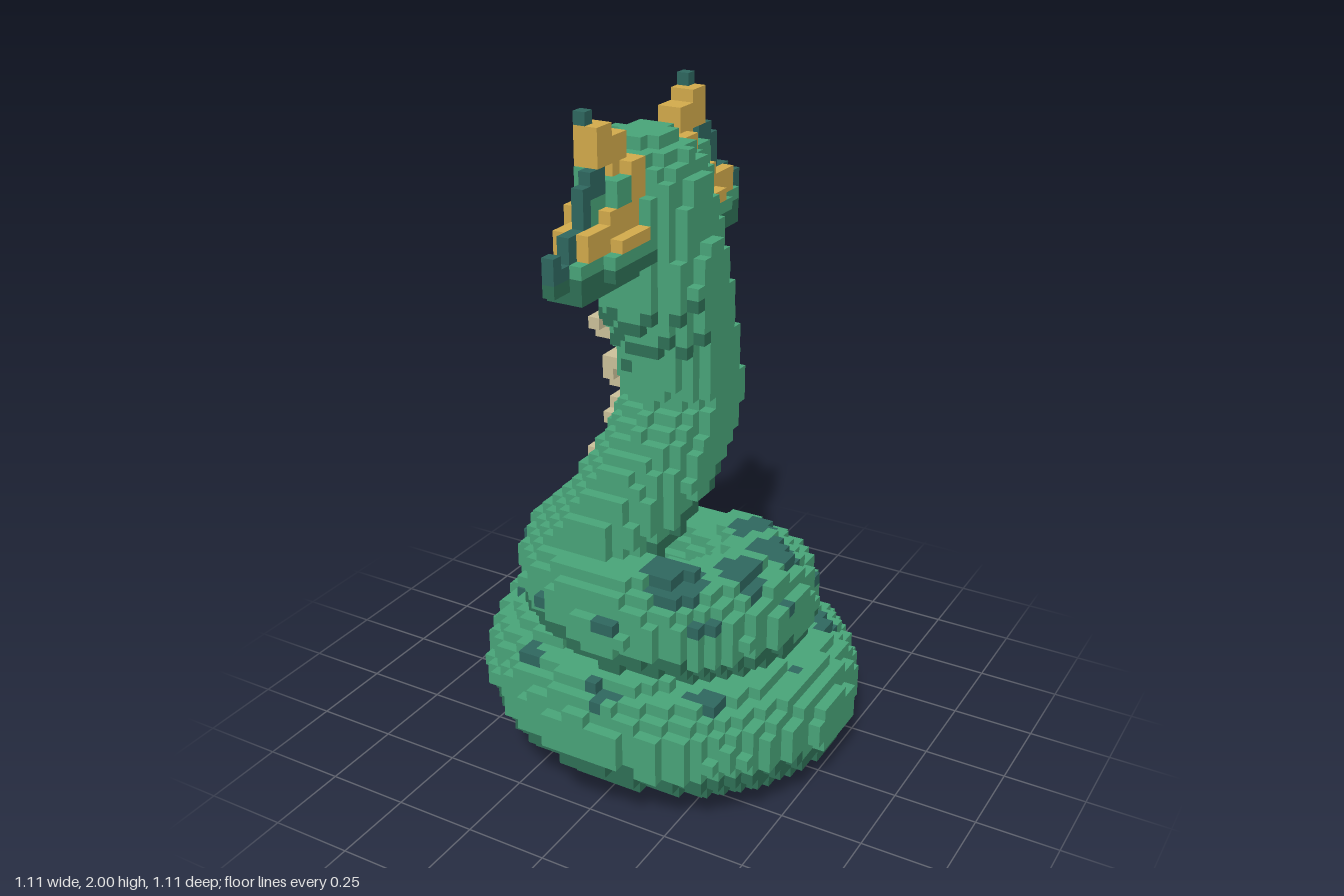
import * as THREE from 'three';

const V = 2 / 56; // voxel edge

const material = (name, color) => {
  const m = new THREE.MeshStandardMaterial({ color });
  m.name = name;
  return m;
};

// Centre line: tail tip, two coils, then the raised neck and head
const SPINE = [
  [0.13, 0.17, -0.38], [0.29, 0.19, -0.27], [0.39, 0.205, 0], [0.28, 0.235, 0.28], [0, 0.265, 0.39],
  [-0.28, 0.295, 0.28], [-0.39, 0.32, 0], [-0.26, 0.365, -0.24], [0, 0.42, -0.3], [0.19, 0.46, -0.2],
  [0.25, 0.5, 0], [0.18, 0.53, 0.19], [0, 0.56, 0.275], [-0.19, 0.595, 0.22], [-0.25, 0.63, 0.13],
  [-0.13, 0.75, 0.14], [-0.05, 0.9, 0.06], [-0.03, 1.08, -0.09], [-0.03, 1.25, -0.07],
  [-0.045, 1.45, -0.018], [-0.07, 1.6, -0.01], [-0.095, 1.72, 0],
];

// Spots on the coils, seen from above: x, z, radius
const SPOTS = [
  [-0.27, -0.24, 0.075], [0.13, -0.27, 0.075], [0.38, -0.25, 0.045], [-0.4, -0.07, 0.075],
  [0.27, -0.11, 0.075], [0.27, 0.1, 0.07], [0.14, 0.25, 0.09], [0.28, 0.33, 0.05],
  [-0.23, 0.41, 0.045], [0.03, 0.46, 0.045], [-0.41, 0.18, 0.03],
  [0.41, 0.03, 0.03], [0.12, -0.47, 0.03],
];

// Side fins as voxel boxes: part, x range, y range, z range (mirrored to the other side)
const FIN = [
  ['finShelf', -3, -1, 43, 45, 4, 12],
  ['finShelf', -4, 0, 44, 45, 4, 9],
  ['finShelf', -2, -2, 44, 44, 12, 14],
  ['finClaw', -2, -2, 45, 45, 12, 14],
  ['finWeb', -4, -1, 46, 48, 4, 8],
  ['finWeb', 0, 0, 46, 46, 5, 8],
  ['finWeb', -3, -1, 46, 47, 8, 11],
  ['finShelf', -3, -1, 49, 50, 6, 7],
  ['finShelf', -2, -2, 48, 49, 8, 9],
  ['finClaw', -2, -2, 50, 51, 8, 9],
  ['finClaw', -2, -2, 46, 50, 10, 10],
  ['finClaw', -2, -2, 46, 47, 11, 12],
  ['finClaw', -2, -2, 46, 46, 14, 14],
  ['horn', -4, -1, 49, 51, 4, 5],
  ['horn', -3, -2, 51, 53, 5, 6],
  ['horn', -3, -2, 52, 54, 7, 8],
  ['hornTip', -3, -3, 55, 55, 8, 8],
];

const key = (i, j, k) => (i + 50) * 10000 + j * 100 + k + 50;

function fillBody(voxels) {
  const curve = new THREE.CatmullRomCurve3(SPINE.map((p) => new THREE.Vector3(...p)));
  const samples = curve.getSpacedPoints(260);
  const p = new THREE.Vector3();
  for (let i = -15; i <= 15; i++) for (let k = -15; k <= 15; k++) for (let j = 0; j < 53; j++) {
    p.set(i * V, (j + 0.5) * V, k * V);
    let best = Infinity, near = null;
    for (const s of samples) {
      const d = s.distanceToSquared(p);
      if (d < best) { best = d; near = s; }
    }
    best = Math.sqrt(best);
    // The neck widens a little toward the head
    const radius = THREE.MathUtils.lerp(0.164, 0.178, THREE.MathUtils.smoothstep(near.y, 1.3, 1.45));
    if (best < radius) {
      const overhang = k > 0 && j > 33 && !voxels.has(key(i, j - 1, k));
      const part = p.y - near.y < -0.055 || overhang ? 'underside' : 'body';
      voxels.set(key(i, j, k), { i, j, k, part });
    } else if (best < radius + V * 1.2 && near.y > 0.72 && p.y > 0.7 && j < 46 && (j % 4 < 2 || j % 12 === 7)) {
      // Belly plates wrap the inner side of the neck, narrower toward the coils
      const t = THREE.MathUtils.clamp((p.y - 0.72) / 0.5, 0, 1);
      const angle = THREE.MathUtils.lerp(1, 0.1, t);
      const dx = p.x - near.x, dz = p.z - near.z;
      const facing = (-dx * Math.cos(angle) - dz * Math.sin(angle)) / Math.hypot(dx, dz);
      if (facing > THREE.MathUtils.lerp(0.93, 0.77, t)) {
        const part = j % 8 === 4 && facing > 0.88 ? 'bellyPlateEdges' : 'bellyPlates';
        voxels.set(key(i, j, k), { i, j, k, part });
      }
    }
  }
}

function paintSpots(voxels) {
  for (let i = -15; i <= 15; i++) for (let k = -15; k <= 15; k++) {
    if (!SPOTS.some(([x, z, r]) => Math.hypot(i * V - x, k * V - z) < r)) continue;
    let top = 52;
    while (top >= 0 && !voxels.has(key(i, top, k))) top--;
    if (top >= 0 && top <= 20) voxels.get(key(i, top, k)).part = 'spots';
  }
}

function addFins(voxels) {
  for (const [name, x0, x1, y0, y1, z0, z1] of FIN) {
    for (let i = x0; i <= x1; i++) for (let j = y0; j <= y1; j++) for (let z = z0; z <= z1; z++) {
      const part = j < 45 ? 'finUnderside' : name;
      for (const k of [z, 1 - z]) voxels.set(key(i, j, k), { i, j, k, part });
    }
  }
}

// Exposed voxel faces of one part
function skin(voxels, part) {
  const position = [], normal = [];
  for (const v of voxels.values()) {
    if (v.part !== part) continue;
    const c = [v.i, v.j, v.k];
    for (let a = 0; a < 3; a++) for (const s of [-1, 1]) {
      const n = [0, 0, 0];
      n[a] = s;
      if (voxels.has(key(c[0] + n[0], c[1] + n[1], c[2] + n[2]))) continue;
      const corner = (du, dv) => {
        const q = [c[0], c[1] + 0.5, c[2]];
        q[a] += s / 2;
        q[(a + 1) % 3] += du * s / 2;
        q[(a + 2) % 3] += dv / 2;
        return q.map((x) => x * V);
      };
      const [A, B, C, D] = [corner(-1, -1), corner(1, -1), corner(1, 1), corner(-1, 1)];
      for (const q of [A, B, C, A, C, D]) { position.push(...q); normal.push(...n); }
    }
  }
  const g = new THREE.BufferGeometry();
  g.setAttribute('position', new THREE.Float32BufferAttribute(position, 3));
  g.setAttribute('normal', new THREE.Float32BufferAttribute(normal, 3));
  return g;
}

export function createModel() {
  const green = material('scaleGreen', 0x49a67a);
  const darkGreen = material('undersideGreen', 0x2f7157);
  const teal = material('darkTeal', 0x2f6860);
  const gold = material('gold', 0xd4ac4c);
  const bone = material('bone', 0xcdc29b);

  const voxels = new Map();
  fillBody(voxels);
  paintSpots(voxels);
  addFins(voxels);

  const parts = {
    body: green, underside: darkGreen, spots: teal, bellyPlates: bone, bellyPlateEdges: gold,
    finShelf: green, finUnderside: darkGreen, finWeb: gold, finClaw: teal, horn: gold, hornTip: teal,
  };
  const group = new THREE.Group();
  group.name = 'coiledSerpent';
  for (const [name, mat] of Object.entries(parts)) {
    const mesh = new THREE.Mesh(skin(voxels, name), mat);
    mesh.name = name;
    group.add(mesh);
  }
  return group;
}
